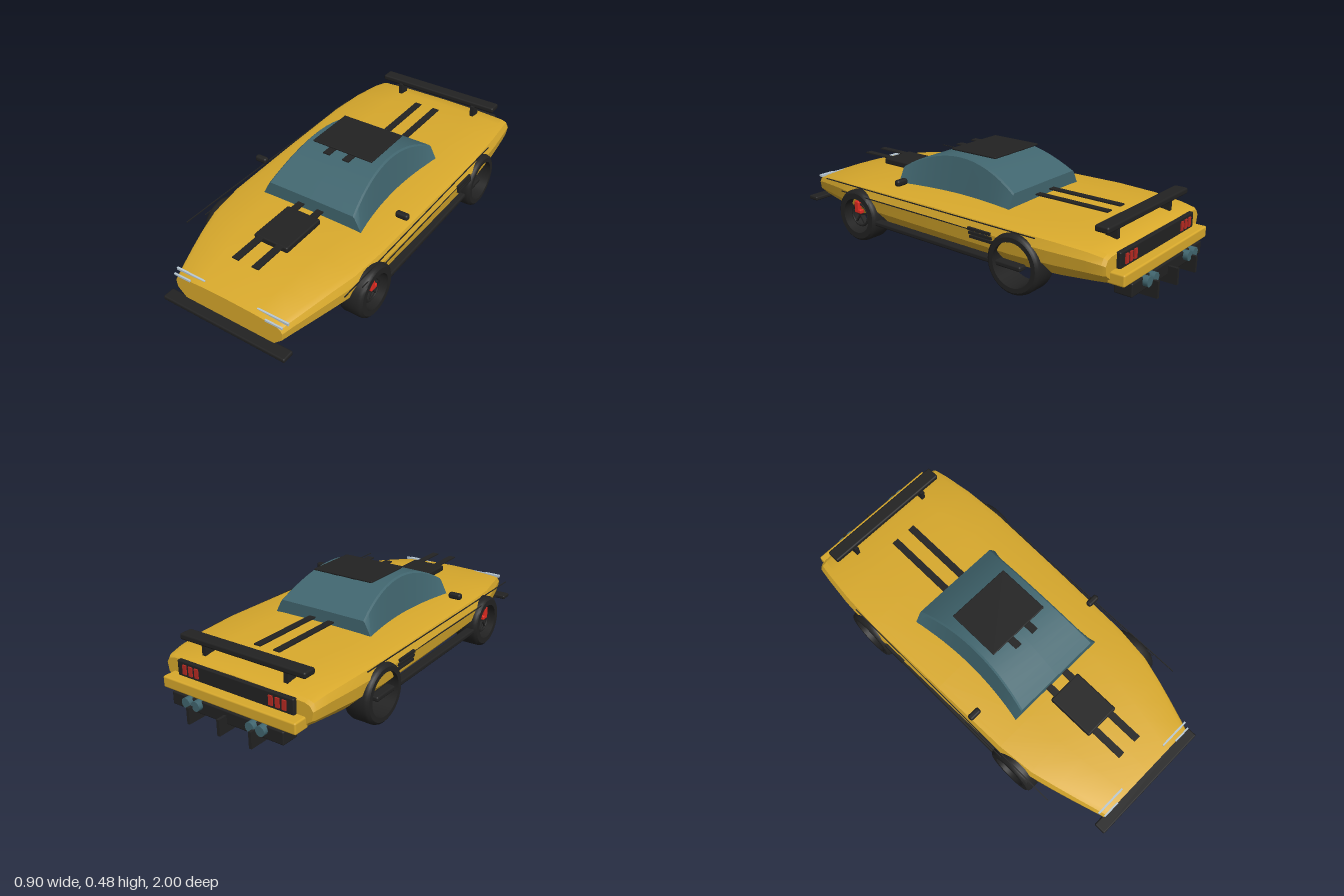
import * as THREE from 'three';
import { toCreasedNormals } from 'three/addons/utils/BufferGeometryUtils.js';
import { RoundedBoxGeometry } from 'three/addons/geometries/RoundedBoxGeometry.js';

const mat = (name, color) => {
  const m = new THREE.MeshStandardMaterial({ color });
  m.name = name;
  return m;
};

// Skin closed cross-sections, ordered front to back. Each half profile
// runs from the top centre to the bottom on +x and is mirrored to -x.
function loft(sections) {
  const rings = sections.map(({ z, half }) => {
    const mirror = half.slice(1).reverse().map(([x, y]) => [-x, y]);
    return [...half, ...mirror].map(([x, y]) => [x, y, z]);
  });
  const pos = [];
  const n = rings[0].length;
  const tri = (...pts) => pts.forEach((p) => pos.push(...p));
  for (let i = 0; i < rings.length - 1; i++) {
    for (let j = 0; j < n; j++) {
      const k = (j + 1) % n;
      const a = rings[i][j], b = rings[i][k], c = rings[i + 1][j], d = rings[i + 1][k];
      tri(a, b, c);
      tri(b, d, c);
    }
  }
  const cap = (ring, front) => {
    const ys = ring.map((p) => p[1]);
    const centre = [0, (Math.min(...ys) + Math.max(...ys)) / 2, ring[0][2]];
    for (let j = 0; j < n; j++) {
      const a = ring[j], b = ring[(j + 1) % n];
      if (front) tri(centre, b, a);
      else tri(centre, a, b);
    }
  };
  cap(rings[0], true);
  cap(rings[rings.length - 1], false);
  const geo = new THREE.BufferGeometry();
  geo.setAttribute('position', new THREE.Float32BufferAttribute(pos, 3));
  return toCreasedNormals(geo, 0.45);
}

export function createModel() {
  const car = new THREE.Group();
  car.name = 'sportsCar';
  const yellow = mat('bodyYellow', 0xd8a92c);
  const black = mat('trimBlack', 0x222222);
  const teal = mat('tealGlass', 0x41666f);
  const silver = mat('lampSilver', 0xb9c9d4);
  const red = mat('lampRed', 0xb82a22);
  const caliperRed = mat('caliperRed', 0xdd2a20);

  const add = (name, geo, material, x = 0, y = 0, z = 0) => {
    const m = new THREE.Mesh(geo, material);
    m.name = name;
    m.position.set(x, y, z);
    car.add(m);
    return m;
  };
  // Box given by its extents on each axis
  const box = (name, material, [x0, x1], [y0, y1], [z0, z1], r = 0) => {
    const s = [x1 - x0, y1 - y0, z1 - z0];
    const geo = r ? new RoundedBoxGeometry(...s, 2, r) : new THREE.BoxGeometry(...s);
    return add(name, geo, material, (x0 + x1) / 2, (y0 + y1) / 2, (z0 + z1) / 2);
  };

  // Wedge body: z, half width, top, bottom
  const stations = [
    [0.95, 0.285, 0.217, 0.1], [0.9, 0.302, 0.231, 0.1], [0.8, 0.335, 0.25, 0.1],
    [0.7, 0.366, 0.267, 0.1], [0.58, 0.4, 0.28, 0.1], [0.4, 0.42, 0.292, 0.1],
    [0, 0.43, 0.298, 0.1], [-0.45, 0.438, 0.3, 0.102], [-0.65, 0.428, 0.296, 0.112],
    [-0.8, 0.411, 0.286, 0.124], [-0.87, 0.4, 0.275, 0.13], [-0.885, 0.392, 0.265, 0.135],
  ];
  add('body', loft(stations.map(([z, w, top, low]) => {
    const h = top - low;
    return { z, half: [
      [0, top], [w * 0.5, top - 0.003], [w * 0.9, top - 0.011], [w * 0.965, top - 0.02],
      [w, top - h * 0.32], [w * 0.98, low + h * 0.36], [w * 0.82, low], [0, low],
    ] };
  })), yellow);

  // Cabin: an arched canopy with a pinched waist
  const cabin = [];
  for (let i = 0; i <= 16; i++) {
    const t = 1 - i / 8, q = t * t;
    const top = 0.467 - 0.107 * q, wt = 0.205 + 0.03 * q, wb = 0.235 + 0.035 * q;
    cabin.push({ z: 0.027 + 0.3375 * t, half: [
      [0, top], [wt - 0.008, top - 0.001], [wt, top - 0.008], [wb, 0.285], [0, 0.285],
    ] });
  }
  add('cabin', loft(cabin), teal);

  // Roof panel, hood scoop and long twin stripes
  box('roofPanel', black, [-0.163, 0.163], [0.471, 0.48], [-0.15, 0.115], 0.004);
  box('hoodScoop', black, [-0.09, 0.09], [0.288, 0.319], [0.415, 0.655], 0.008);
  for (const x of [-0.0525, 0.0525]) {
    const across = [x - 0.0175, x + 0.0175];
    box('hoodStripe', black, across, [0.312, 0.318], [0.35, 0.82]);
    box('deckStripe', black, across, [0.312, 0.318], [-0.69, -0.3]);
    box('roofStripe', black, across, [0.467, 0.473], [-0.14, 0.165]);
  }

  // Front splitter
  box('frontSplitter', black, [-0.327, 0.327], [0.082, 0.103], [0.94, 1], 0.007);

  // Tail: panel, bumper, diffuser and wing
  box('tailPanel', black, [-0.312, 0.312], [0.185, 0.262], [-0.903, -0.88], 0.006);
  box('rearBumper', yellow, [-0.356, 0.356], [0.14, 0.193], [-0.95, -0.87], 0.008);
  box('diffuser', black, [-0.3, 0.3], [0.08, 0.14], [-0.955, -0.87], 0.006);
  for (const x of [-0.168, 0, 0.168]) {
    box('diffuserFin', black, [x - 0.007, x + 0.007], [0.045, 0.12], [-1, -0.89]);
  }
  box('rearWing', black, [-0.335, 0.335], [0.331, 0.36], [-0.857, -0.79], 0.009);

  const tyre = (r, hole, w) => {
    const profile = [
      [hole, -w], [r - 0.014, -w], [r - 0.004, -w + 0.008], [r, -w + 0.02],
      [r, w - 0.02], [r - 0.004, w - 0.008], [r - 0.014, w], [hole, w], [hole, -w],
    ].map(([a, b]) => new THREE.Vector2(a, b));
    return toCreasedNormals(new THREE.LatheGeometry(profile, 40).rotateZ(-Math.PI / 2), 0.6);
  };
  const frontTyre = tyre(0.128, 0.086, 0.06);
  const rearTyre = tyre(0.136, 0.101, 0.062);

  // Parts on both sides
  for (const s of [1, -1]) {
    const side = (a, b) => (s > 0 ? [a, b] : [-b, -a]);
    add('frontTyre', frontTyre, black, s * 0.38, 0.13, 0.495);
    add('rearTyre', rearTyre, black, s * 0.388, 0.136, -0.47);

    // Front brake ring, spokes and caliper inside the open wheel
    const ring = new THREE.TorusGeometry(0.054, 0.006, 8, 28).rotateY(Math.PI / 2);
    add('brakeRing', ring, black, s * 0.412, 0.13, 0.495);
    for (let i = 0; i < 5; i++) {
      const spoke = new THREE.BoxGeometry(0.008, 0.054, 0.007).translate(0, 0.027, 0);
      add('brakeSpoke', spoke, black, s * 0.412, 0.13, 0.495).rotation.x = (i * Math.PI * 2) / 5;
    }
    box('brakeCaliper', caliperRed, side(0.405, 0.428), [0.14, 0.2], [0.49, 0.52], 0.006);
    box('caliperFoot', caliperRed, side(0.405, 0.428), [0.14, 0.16], [0.475, 0.5], 0.005);

    // Side skirt, pinstripes and vent slats
    box('sideSkirt', black, side(0.385, 0.43), [0.104, 0.128], [-0.5, 0.39], 0.008);
    box('upperPinstripe', black, side(0.424, 0.428), [0.272, 0.276], [-0.57, 0.72]);
    box('lowerPinstripe', black, side(0.43, 0.434), [0.232, 0.236], [-0.25, 0.6]);
    for (let i = 0; i < 3; i++) {
      const y = 0.206 + i * 0.017, z = -0.235 + i * 0.006;
      box('ventSlat', black, side(0.425, 0.443), [y - 0.006, y + 0.006], [z - 0.125, z]);
    }

    // Mirror
    box('mirror', black, side(0.361, 0.425), [0.33, 0.36], [0.207, 0.237], 0.011);

    // Headlamp: a tapered sliver across the nose
    const lamp = new THREE.Shape();
    lamp.moveTo(0.14, 0.22);
    lamp.lineTo(0.298, 0.212);
    lamp.lineTo(0.298, 0.224);
    lamp.lineTo(0.14, 0.223);
    const lampGeo = new THREE.ExtrudeGeometry(lamp, { depth: 0.009, bevelEnabled: false });
    if (s < 0) lampGeo.rotateY(Math.PI).translate(0, 0, 0.009);
    add('headlamp', lampGeo, silver, 0, 0, 0.943 - 0.026);
    box('headlampFace', silver, side(0.2, 0.288), [0.208, 0.217], [0.945, 0.953]);

    // Tail lamps, wing post and twin exhausts
    for (let i = 0; i < 3; i++) {
      const x = 0.2 + i * 0.034;
      box('tailLamp', red, side(x - 0.01, x + 0.01), [0.205, 0.248], [-0.909, -0.901]);
    }
    box('wingPost', black, side(0.21, 0.23), [0.275, 0.34], [-0.835, -0.78]);
    for (const x of [0.147, 0.2]) {
      const pipe = new THREE.CylinderGeometry(0.023, 0.023, 0.1, 20).rotateX(Math.PI / 2);
      add('exhaust', pipe, teal, s * x, 0.122, -0.927);
    }
  }
  return car;
}
